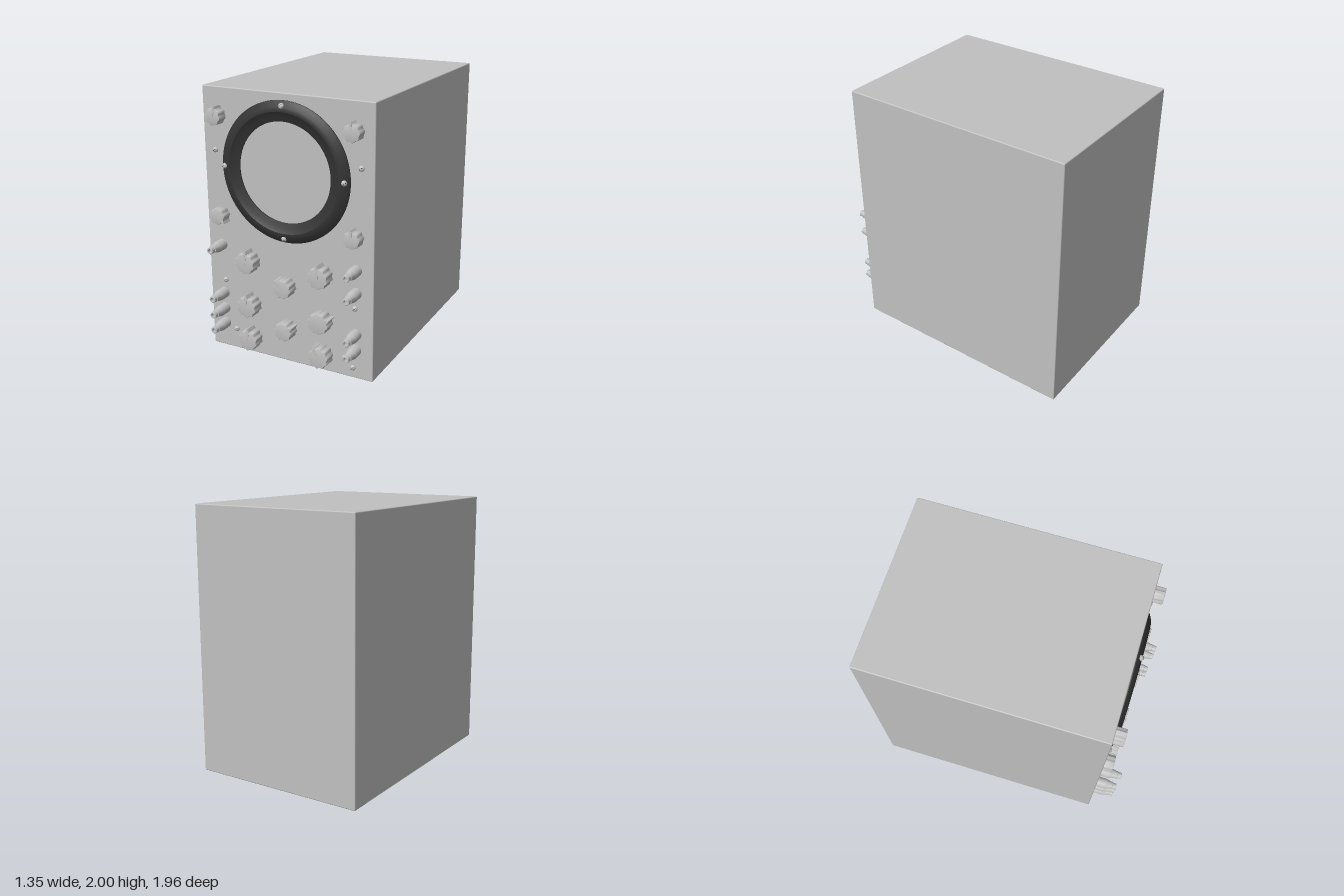
import * as THREE from 'three';
import { toCreasedNormals } from 'three/addons/utils/BufferGeometryUtils.js';
import { RoundedBoxGeometry } from 'three/addons/geometries/RoundedBoxGeometry.js';

const FRONT = 0.817; // z of the front panel
const V = (x, y) => new THREE.Vector2(x, y);

// Lathe whose axis points along +z; profile is a list of [radius, height]
function latheZ(profile, segments) {
  const geo = new THREE.LatheGeometry(profile.map(p => V(p[0], p[1])), segments);
  geo.rotateX(Math.PI / 2);
  return toCreasedNormals(geo, 0.5);
}

// Fluted knob body with softly bevelled rim
function knobGeometry(r, depth, flutes) {
  const pts = [];
  const n = flutes * 10;
  for (let i = 0; i < n; i++) {
    const a = (i / n) * Math.PI * 2;
    const rad = r * (0.94 + 0.055 * Math.cos(flutes * a));
    pts.push(V(rad * Math.cos(a), rad * Math.sin(a)));
  }
  const bevel = 0.004;
  const geo = new THREE.ExtrudeGeometry(new THREE.Shape(pts), {
    depth: depth - bevel, bevelEnabled: true, bevelThickness: bevel,
    bevelSize: bevel, bevelOffset: -bevel, bevelSegments: 2,
  });
  return toCreasedNormals(geo, 0.6);
}

// Tapered pointer blade running outwards along +x
function pointerGeometry(from, to, halfWidth, depth) {
  const shape = new THREE.Shape([
    V(from, -halfWidth * 0.4), V(to * 0.8, -halfWidth), V(to, -0.002),
    V(to, 0.002), V(to * 0.8, halfWidth), V(from, halfWidth * 0.4),
  ]);
  return new THREE.ExtrudeGeometry(shape, { depth, bevelEnabled: false });
}

export function createModel() {
  const root = new THREE.Group();
  const grey = new THREE.MeshStandardMaterial({ color: 0xc0c0c0 });
  grey.name = 'casingGrey';
  const black = new THREE.MeshStandardMaterial({ color: 0x333333 });
  black.name = 'bezelBlack';

  const add = (parent, name, geo, mat, x = 0, y = 0, z = 0) => {
    const mesh = new THREE.Mesh(geo, mat);
    mesh.name = name;
    mesh.position.set(x, y, z);
    parent.add(mesh);
    return mesh;
  };

  // Cabinet
  const back = -0.975;
  add(root, 'cabinet', new RoundedBoxGeometry(1.346, 2, FRONT - back, 3, 0.008),
    grey, 0, 1, (FRONT + back) / 2);

  // Round screen and its dark bezel
  const cx = -0.01, cy = 1.444;
  add(root, 'screen', new THREE.CircleGeometry(0.375, 96), grey, cx, cy, FRONT + 0.003);
  const bezel = [
    [0.507, -0.002], [0.507, 0.008], [0.495, 0.018], [0.465, 0.034], [0.445, 0.041],
    [0.432, 0.041], [0.424, 0.036], [0.395, 0.024], [0.362, 0.012], [0.362, -0.002],
  ];
  add(root, 'bezel', latheZ(bezel, 96), black, cx, cy, FRONT);

  // Slotted dome screws
  const domeGeo = latheZ([[0.02, -0.006], [0.02, 0.006], [0.016, 0.013], [0.009, 0.018], [0, 0.019]], 20);
  const slotGeo = new THREE.BoxGeometry(0.026, 0.004, 0.004);
  const addScrew = (name, x, y, z) => {
    const g = new THREE.Group();
    g.name = name;
    add(g, 'screwHead', domeGeo, grey);
    add(g, 'screwSlot', slotGeo, black, 0, 0, 0.0165).rotation.z = 0.7;
    g.position.set(x, y, z);
    root.add(g);
    return g;
  };
  [[-0.58, 1.543], [0.576, 1.553], [-0.54, 0.547], [0.533, 0.541],
    [-0.46, 0.16], [0.454, 0.145], [0.52, 0.08]]
    .forEach(([x, y]) => addScrew('panelScrew', x, y, FRONT));

  // Bezel screws lean outwards with the slope of the ring
  for (let i = 0; i < 4; i++) {
    const a = i * Math.PI / 2;
    const c = Math.cos(a), s = Math.sin(a);
    const screw = addScrew('bezelScrew', cx + 0.472 * c, cy + 0.472 * s, FRONT + 0.029);
    screw.quaternion.setFromUnitVectors(
      new THREE.Vector3(0, 0, 1), new THREE.Vector3(c * 0.5, s * 0.5, 0.87).normalize());
  }

  // Control knobs: [x, y, pointer angle in degrees]
  const addKnobs = (name, list, r, depth, flutes, reach) => {
    const body = knobGeometry(r, depth, flutes);
    const pointer = pointerGeometry(0, r * reach, r * 0.16, depth + 0.002);
    for (const [x, y, deg] of list) {
      const g = new THREE.Group();
      g.name = name;
      add(g, 'knobBody', body, grey);
      add(g, 'knobPointer', pointer, grey);
      g.position.set(x, y, FRONT);
      g.rotation.z = THREE.MathUtils.degToRad(deg);
      root.add(g);
    }
  };
  addKnobs('cornerKnob', [[-0.545, 1.797, 78], [0.535, 1.797, 95],
    [-0.545, 1.065, -37], [0.535, 1.065, 95]], 0.064, 0.077, 8, 1.18);
  addKnobs('largeKnob', [[-0.313, 0.745, 87], [0.281, 0.745, 93], [-0.313, 0.4, 90],
    [0.281, 0.4, 25], [-0.313, 0.13, 88], [0.281, 0.13, 118]], 0.081, 0.09, 10, 1.2);
  addKnobs('centreKnob', [[-0.007, 0.605, 137], [-0.007, 0.27, 30]], 0.072, 0.09, 10, 1.2);

  // Terminal posts with a hollow tip
  const postGeo = latheZ([
    [0.041, -0.002], [0.041, 0.07], [0.038, 0.085], [0.03, 0.115], [0.03, 0.132],
    [0.025, 0.134], [0.025, 0.162], [0.023, 0.164], [0.015, 0.164], [0.015, 0.14], [0, 0.14],
  ], 24);
  const posts = { '-0.557': [0.827, 0.442, 0.315, 0.193], '0.542': [0.827, 0.658, 0.346, 0.225] };
  for (const [x, ys] of Object.entries(posts)) {
    ys.forEach(y => add(root, 'terminalPost', postGeo, grey, Number(x), y, FRONT));
  }
  return root;
}
